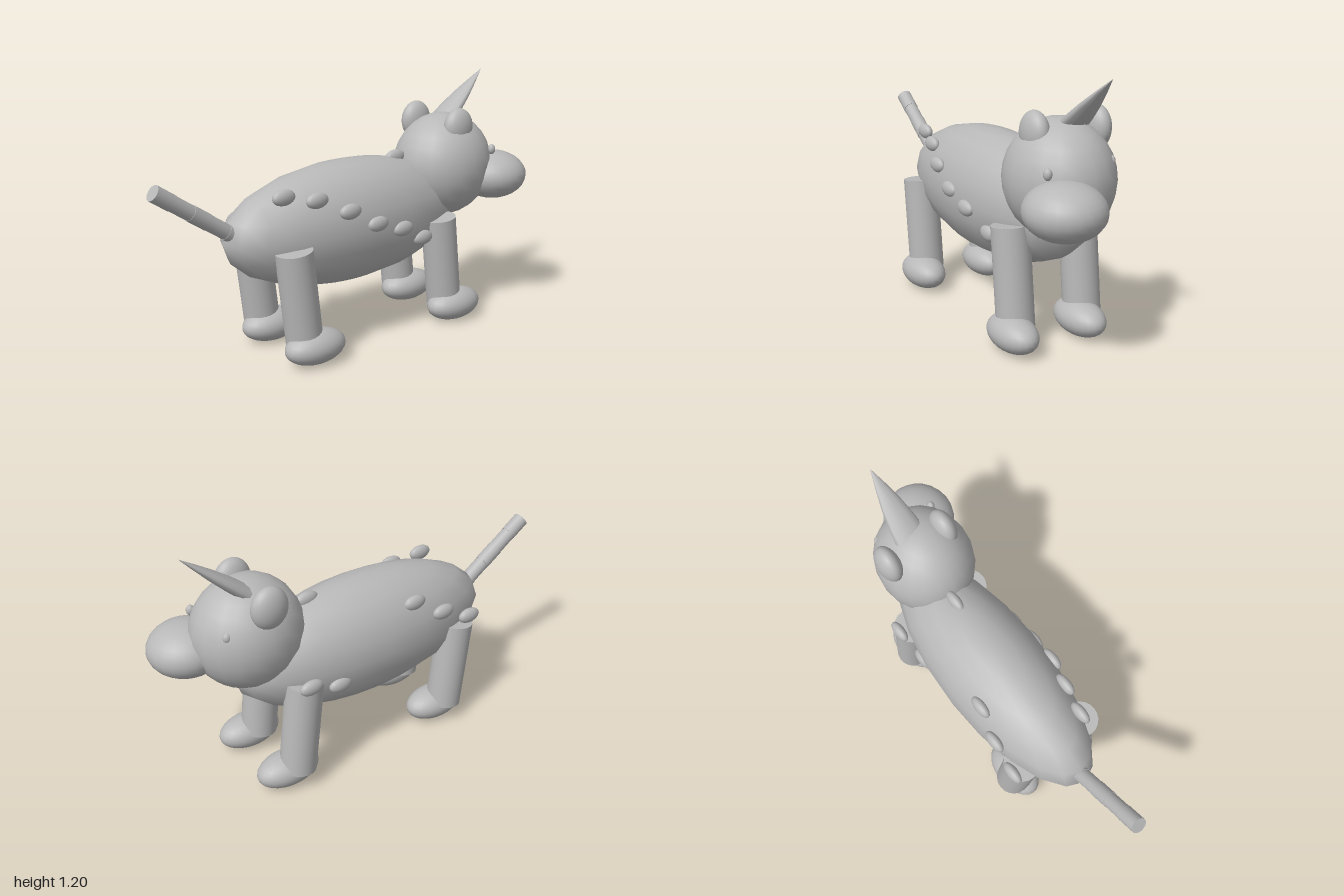
import * as THREE from 'three';

export function createModel() {
  const model = new THREE.Group();
  const clay = new THREE.MeshStandardMaterial({ color: 0xb8b8b8 });
  clay.name = 'clay grey';

  const add = (name, geometry, position) => {
    const mesh = new THREE.Mesh(geometry, clay);
    mesh.name = name;
    mesh.position.set(...position);
    model.add(mesh);
    return mesh;
  };
  const ellipsoid = (name, position, radii, w = 24, h = 16) =>
    add(name, new THREE.SphereGeometry(1, w, h).scale(...radii), position);

  // Turn a mesh so that its y axis runs from a to b
  const aim = (mesh, a, b) => {
    const dir = new THREE.Vector3(...b).sub(new THREE.Vector3(...a)).normalize();
    mesh.quaternion.setFromUnitVectors(new THREE.Vector3(0, 1, 0), dir);
    return mesh;
  };

  // Body and head
  ellipsoid('body', [0.02, 0.56, -0.04], [0.68, 0.29, 0.25], 20, 10);
  ellipsoid('head', [0.597, 0.755, 0], [0.257, 0.257, 0.23], 20, 14);
  ellipsoid('snout', [0.825, 0.69, 0.125], [0.175, 0.12, 0.17]);
  ellipsoid('leftEye', [0.77, 0.83, 0.17], [0.02, 0.025, 0.018], 12, 8);
  ellipsoid('rightEye', [0.762, 0.845, -0.137], [0.02, 0.025, 0.018], 12, 8);
  for (const z of [0.115, -0.187])
    ellipsoid('ear', [0.587, 0.95, z], [0.085, 0.096, 0.053]);

  // Flattened, slightly bulging horn leaning forward
  const base = [0.6, 0.95, -0.035], tip = [0.89, 1.2, -0.035];
  const profile = [[0.08, 0], [0.07, 0.1], [0.052, 0.2], [0.027, 0.295], [0, 0.383]]
    .map(([r, y]) => new THREE.Vector2(r, y));
  const horn = add('horn', new THREE.LatheGeometry(profile, 12).scale(0.45, 1, 1), base);
  aim(horn, base, tip);

  // Four leaning legs with oval feet
  for (const x of [-0.415, 0.445]) {
    for (const [z, footZ] of [[0.14, 0.175], [-0.205, -0.172]]) {
      const top = [x, 0.532, z], bottom = [x + 0.052, 0.09, z];
      const mid = top.map((v, i) => (v + bottom[i]) / 2);
      aim(add('leg', new THREE.CylinderGeometry(0.085, 0.085, 0.445, 20), mid), bottom, top);
      ellipsoid('foot', [x + 0.085, 0.079, footZ], [0.155, 0.079, 0.094]);
    }
  }

  // Tail of short ringed segments
  const tailEnd = [-0.976, 0.845, -0.038], tailRoot = [-0.48, 0.509, -0.038];
  const segments = 6;
  for (let i = 0; i < segments; i++) {
    const t = (i + 0.5) / segments;
    const centre = tailEnd.map((v, k) => v + (tailRoot[k] - v) * t);
    const r = i % 2 ? 0.035 : 0.037;
    aim(add('tailSegment', new THREE.CylinderGeometry(r, r, 0.1, 16), centre), tailRoot, tailEnd);
  }

  // Raised oval spots on both flanks and the back
  const spots = [
    [-0.435, 0.765, 0.1], [-0.285, 0.735, 0.138], [-0.137, 0.67, 0.185],
    [0.01, 0.59, 0.2], [0.163, 0.54, 0.2], [0.315, 0.46, 0.17],
    [-0.435, 0.59, -0.275], [-0.285, 0.657, -0.262], [-0.14, 0.74, -0.228],
    [0.29, 0.485, -0.255], [0.45, 0.545, -0.272], [0.31, 0.82, -0.03],
  ];
  for (const p of spots) ellipsoid('spot', p, [0.059, 0.036, 0.026], 16, 10);

  return model;
}
